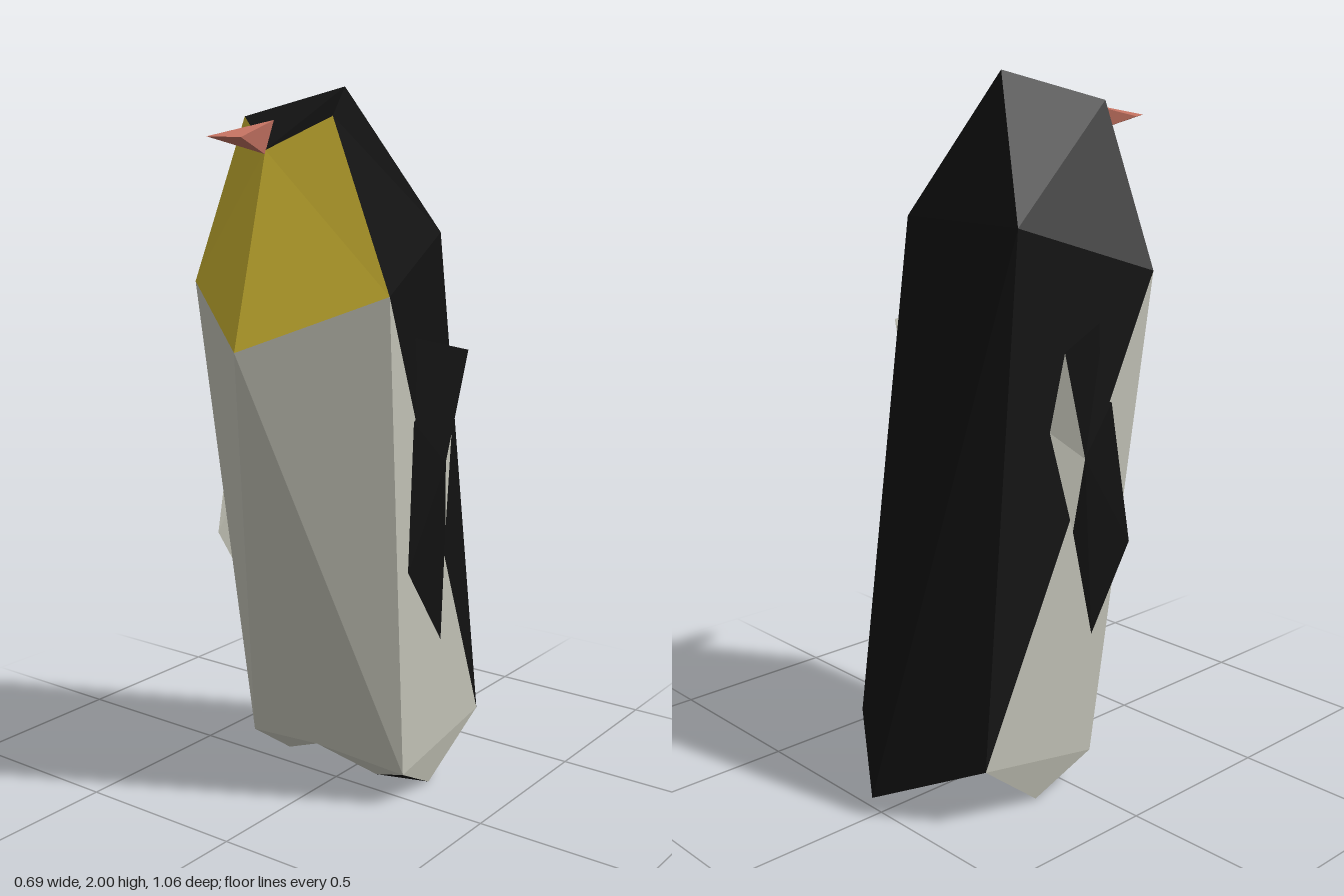
import * as THREE from 'three';

const V = (x, y, z) => new THREE.Vector3(x, y, z);
const BLACK = 0x111111, WHITE = 0xc4c4b8, YELLOW = 0xc8b030, CORAL = 0xc0705f;

// Facets given as names of corner points, turned to face away from a centre.
function facets(name, color, points, faces, center, mirror) {
  const pos = [];
  for (const face of faces) {
    for (const side of mirror ? [1, -1] : [1]) {
      const [a, b, c] = face.split(' ').map((k) => points[k].clone().multiply(V(side, 1, 1)));
      const normal = b.clone().sub(a).cross(c.clone().sub(a));
      const out = a.clone().add(b).add(c).divideScalar(3).sub(center.clone().multiply(V(side, 1, 1)));
      const order = normal.dot(out) < 0 ? [a, c, b] : [a, b, c];
      for (const p of order) pos.push(p.x, p.y, p.z);
    }
  }
  const geo = new THREE.BufferGeometry();
  geo.setAttribute('position', new THREE.Float32BufferAttribute(pos, 3));
  geo.computeVertexNormals();
  const mat = new THREE.MeshStandardMaterial({ color, flatShading: true, side: THREE.DoubleSide });
  const mesh = new THREE.Mesh(geo, mat);
  mesh.name = name;
  return mesh;
}

// Body: half of the corners, the other half is mirrored
function createBody() {
  const p = {
    crown: V(0, 2, -0.04),
    temple: V(0.145, 1.92, 0.21),
    brow: V(0, 1.835, 0.303),
    cheek: V(0.327, 1.475, 0.215),
    chest: V(0, 1.33, 0.437),
    nape: V(0.22, 1.61, -0.187),
    napeMid: V(0, 1.61, -0.187),
    belly: V(0, 0.14, 0.095),
    hip: V(0.272, 0.1, 0.05),
    toe: V(0.16, 0.06, 0.02),
    heel: V(0.24, 0, -0.135),
    rump: V(0.27, 0.17, -0.352),
    tail: V(0, 0.055, -0.53),
  };
  const center = V(0, 1, 0);
  const body = new THREE.Group();
  body.name = 'body';
  body.add(
    facets('backAndHood', BLACK, p, [
      'crown temple brow', 'crown nape temple', 'crown napeMid nape',
      'nape cheek temple', 'nape rump cheek', 'nape tail rump', 'napeMid tail nape',
    ], center, true),
    facets('face', YELLOW, p, ['brow temple cheek', 'brow cheek chest'], center, true),
    facets('bellyAndSides', WHITE, p, [
      'chest cheek hip', 'chest hip belly', 'cheek rump hip', 'hip rump heel', 'belly hip toe',
    ], center, true),
    facets('undersideAndFeet', BLACK, p, [
      'hip heel toe', 'toe heel rump', 'belly toe rump', 'belly rump tail',
    ], center, true),
  );
  return body;
}

// Flippers: dark outer shell, pale lining and rear edge
function createFlippers() {
  const p = {
    shoulder: V(0.285, 1.355, 0.07),
    elbow: V(0.312, 1.13, 0.075),
    front: V(0.335, 0.73, 0.13),
    tip: V(0.343, 0.5, -0.025),
    rear: V(0.32, 0.8, -0.078),
    notch: V(0.335, 1.0, -0.05),
    top: V(0.345, 1.3, -0.14),
    edge: V(0.295, 1.08, -0.143),
    inner: V(0.27, 1.12, -0.08),
  };
  const center = V(0.31, 1, -0.03);
  const flippers = new THREE.Group();
  flippers.name = 'flippers';
  flippers.add(
    facets('flipperShell', BLACK, p, [
      'notch top shoulder', 'notch shoulder elbow', 'notch elbow front',
      'notch front tip', 'notch tip rear',
    ], center, true),
    facets('flipperLining', WHITE, p, [
      'top notch edge', 'notch rear edge', 'inner top edge', 'inner edge rear', 'inner rear tip',
      'inner tip front', 'inner front elbow', 'inner elbow shoulder', 'inner shoulder top',
    ], center, true),
  );
  return flippers;
}

// Beak: kite-shaped wedge
function createBeak() {
  const p = {
    top: V(0, 1.91, 0.267),
    tip: V(0, 1.87, 0.527),
    corner: V(0.044, 1.868, 0.45),
    base: V(0, 1.825, 0.305),
  };
  return facets('beak', CORAL, p,
    ['top corner tip', 'base tip corner', 'top base corner'], V(0, 1.868, 0.4), true);
}

export function createModel() {
  const model = new THREE.Group();
  model.name = 'penguin';
  model.add(createBody(), createFlippers(), createBeak());
  return model;
}
